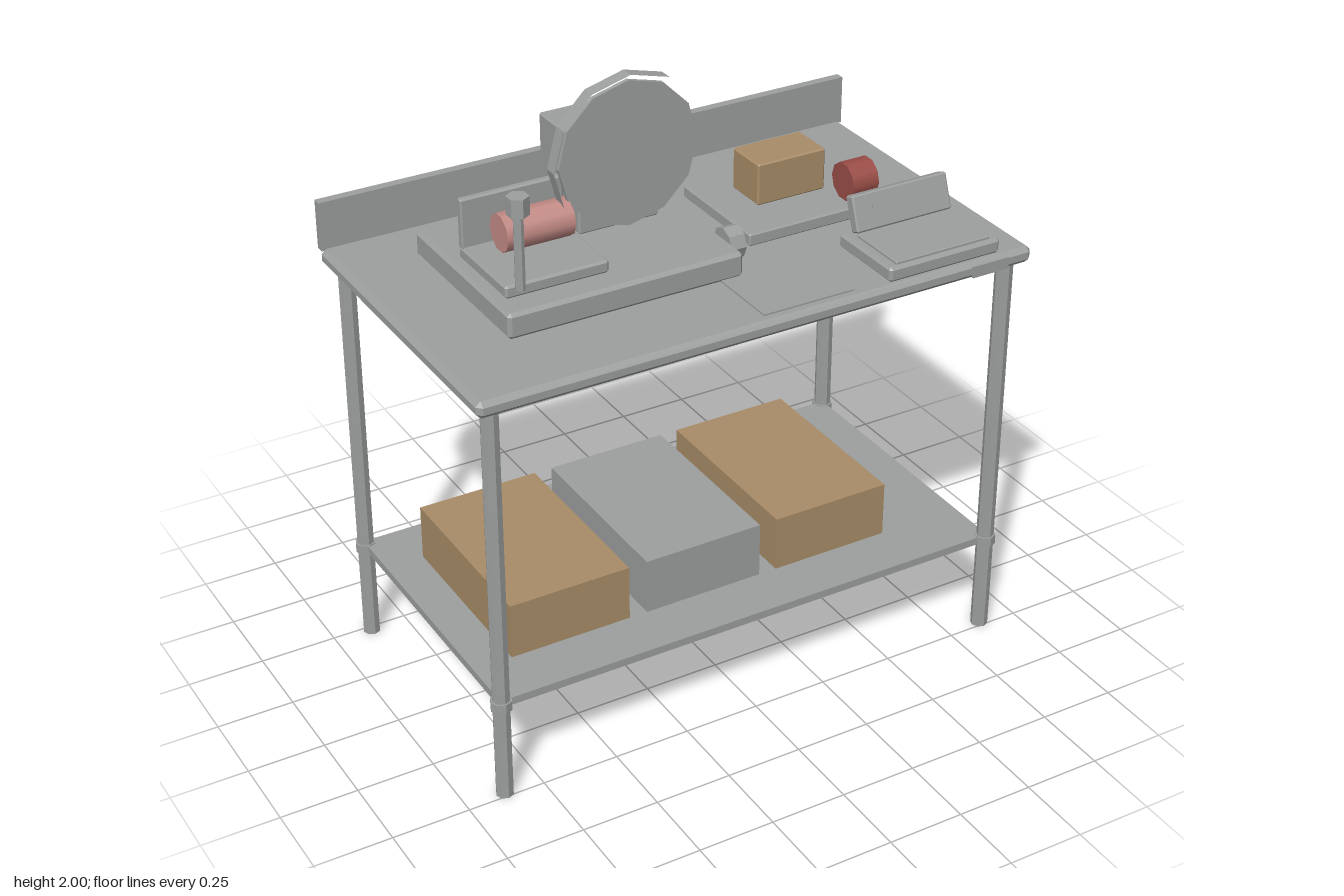
import * as THREE from 'three';
import { ConvexGeometry } from 'three/addons/geometries/ConvexGeometry.js';

const paint = (name, color) => {
  const m = new THREE.MeshStandardMaterial({ color });
  m.name = name;
  return m;
};

export function createModel() {
  const model = new THREE.Group();
  model.name = 'prepTable';
  const steel = paint('steel grey', 0x9c9f9e);
  const tan = paint('cardboard tan', 0xa98c68);
  const pink = paint('meat pink', 0xc48b86);
  const red = paint('sauce red', 0x9c4e48);

  const add = (name, geo, mat, x = 0, y = 0, z = 0, parent = model) => {
    const mesh = new THREE.Mesh(geo, mat);
    mesh.name = name;
    mesh.position.set(x, y, z);
    parent.add(mesh);
    return mesh;
  };

  // Box with all edges chamfered by b
  const chamferBox = (w, h, d, b) => {
    const pts = [];
    for (const sx of [-1, 1]) for (const sy of [-1, 1]) for (const sz of [-1, 1]) {
      const x = w / 2, y = h / 2, z = d / 2;
      pts.push(
        new THREE.Vector3(sx * x, sy * (y - b), sz * (z - b)),
        new THREE.Vector3(sx * (x - b), sy * y, sz * (z - b)),
        new THREE.Vector3(sx * (x - b), sy * (y - b), sz * z));
    }
    return new ConvexGeometry(pts);
  };

  // Block given by its limits on each axis
  const block = (name, mat, [x0, x1], [y0, y1], [z0, z1], b = 0) => add(name,
    b ? chamferBox(x1 - x0, y1 - y0, z1 - z0, b) : new THREE.BoxGeometry(x1 - x0, y1 - y0, z1 - z0),
    mat, (x0 + x1) / 2, (y0 + y1) / 2, (z0 + z1) / 2);

  // Faceted cylinder, flat shaded
  const prism = (r, h, sides, open = false) => {
    const g = new THREE.CylinderGeometry(r, r, h, sides, 1, open).toNonIndexed();
    g.computeVertexNormals();
    return g;
  };

  // Table: top, backsplash, front tag, shelf
  block('tableTop', steel, [-0.933, 0.933], [1.345, 1.4], [-0.535, 0.54], 0.016);
  block('backsplash', steel, [-0.933, 0.933], [1.395, 1.556], [-0.545, -0.515]);
  block('frontTag', steel, [0.71, 0.84], [1.352, 1.39], [0.539, 0.545]);
  block('lowerShelf', steel, [-0.878, 0.878], [0.32, 0.346], [-0.487, 0.487]);

  // Legs with collars at the shelf
  for (const x of [-0.873, 0.873]) for (const z of [-0.482, 0.482]) {
    add('leg', prism(0.028, 1.35, 8), steel, x, 0.675, z);
    add('legCollar', prism(0.034, 0.032, 8), steel, x, 0.333, z);
  }

  // Storage boxes on the shelf
  [[-0.75, tan], [-0.283, steel], [0.184, tan]].forEach(([x, mat]) =>
    block('storageBox', mat, [x, x + 0.406], [0.346, 0.531], [-0.313, 0.31]));

  // Slicer: base, motor, blade and its thin guard
  block('slicerBase', steel, [-0.7, 0.075], [1.4, 1.483], [-0.345, 0.27], 0.011);
  block('motorHousing', steel, [-0.293, -0.022], [1.483, 1.788], [-0.311, -0.068], 0.005);
  add('blade', prism(0.233, 0.014, 12), steel, -0.158, 1.745, -0.008).rotation.x = Math.PI / 2;
  add('bladeGuard', prism(0.256, 0.045, 12, true), steel, -0.158, 1.745, -0.008).rotation.x = Math.PI / 2;

  // Carriage, fence, handle
  block('carriagePlate', steel, [-0.667, -0.332], [1.486, 1.527], [-0.112, 0.19], 0.007);
  block('carriageFence', steel, [-0.667, -0.332], [1.52, 1.682], [-0.112, -0.088], 0.005);
  add('handlePost', prism(0.016, 0.25, 8), steel, -0.625, 1.64, 0.2);
  add('handleGrip', prism(0.034, 0.058, 6), steel, -0.625, 1.78, 0.2);

  // Meat roll, control knob, red roll: cylinders lying along x
  add('meatRoll', new THREE.CylinderGeometry(0.06, 0.06, 0.222, 10), pink, -0.468, 1.584, -0.022).rotation.z = Math.PI / 2;
  add('controlKnob', prism(0.053, 0.052, 8), steel, 0.098, 1.458, 0.152).rotation.z = Math.PI / 2;
  add('redRoll', new THREE.CylinderGeometry(0.062, 0.062, 0.092, 10), red, 0.606, 1.506, 0.058).rotation.z = Math.PI / 2;

  // Cutting board with a loaf, and a flat sheet on the table
  block('cuttingBoard', steel, [0.19, 0.744], [1.4, 1.441], [-0.283, 0.115], 0.005);
  block('loaf', tan, [0.313, 0.557], [1.441, 1.58], [-0.188, -0.039], 0.005);
  block('paperSheet', steel, [0, 0.31], [1.4, 1.405], [0.228, 0.504]);

  // Weighing scale with a tilted display
  block('scaleBase', steel, [0.423, 0.82], [1.4, 1.449], [0.247, 0.523], 0.009);
  block('scalePlate', steel, [0.453, 0.79], [1.445, 1.458], [0.3, 0.508], 0.003);
  const display = new THREE.Group();
  display.name = 'scaleDisplay';
  display.position.set(0.617, 1.515, 0.278);
  display.rotation.x = -0.35;
  model.add(display);
  add('displayHousing', chamferBox(0.342, 0.115, 0.038, 0.005), steel, 0, 0, 0, display);
  add('displayStrip', new THREE.BoxGeometry(0.215, 0.014, 0.006), steel, 0, 0.014, 0.02, display);

  return model;
}
